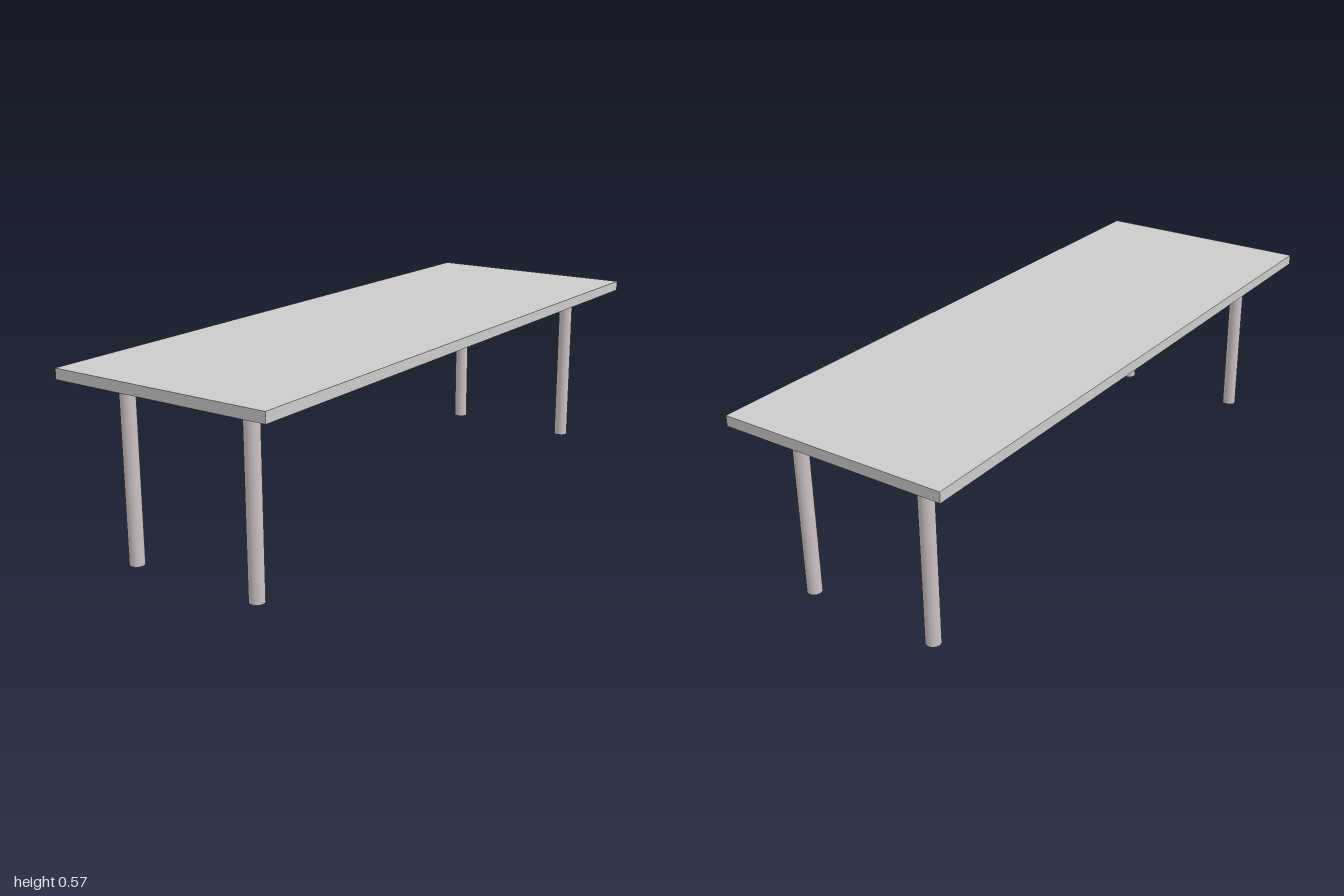
import * as THREE from 'three';

const TOP_WIDTH = 0.718, TOP_LENGTH = 2, TOP_THICKNESS = 0.032;
const LEG_HEIGHT = 0.538, LEG_RADIUS = 0.0225, LEG_X = 0.216, LEG_Z = 0.882;

export function createModel() {
  const table = new THREE.Group();
  table.name = 'table';

  // Flat rectangular slab
  const top = new THREE.Mesh(
    new THREE.BoxGeometry(TOP_WIDTH, TOP_THICKNESS, TOP_LENGTH),
    new THREE.MeshStandardMaterial({ color: 0xcccccc })
  );
  top.name = 'tableTop';
  top.position.y = LEG_HEIGHT + TOP_THICKNESS / 2;
  table.add(top);

  // Four round legs, set in from the corners
  const legGeometry = new THREE.CylinderGeometry(LEG_RADIUS, LEG_RADIUS, LEG_HEIGHT, 32);
  const legMaterial = new THREE.MeshStandardMaterial({ color: 0xcdc1c5 });
  for (const [endName, z] of [['front', LEG_Z], ['back', -LEG_Z]]) {
    for (const [sideName, x] of [['Left', LEG_X], ['Right', -LEG_X]]) {
      const leg = new THREE.Mesh(legGeometry, legMaterial);
      leg.name = `${endName}${sideName}Leg`;
      leg.position.set(x, LEG_HEIGHT / 2, z);
      table.add(leg);
    }
  }

  return table;
}
